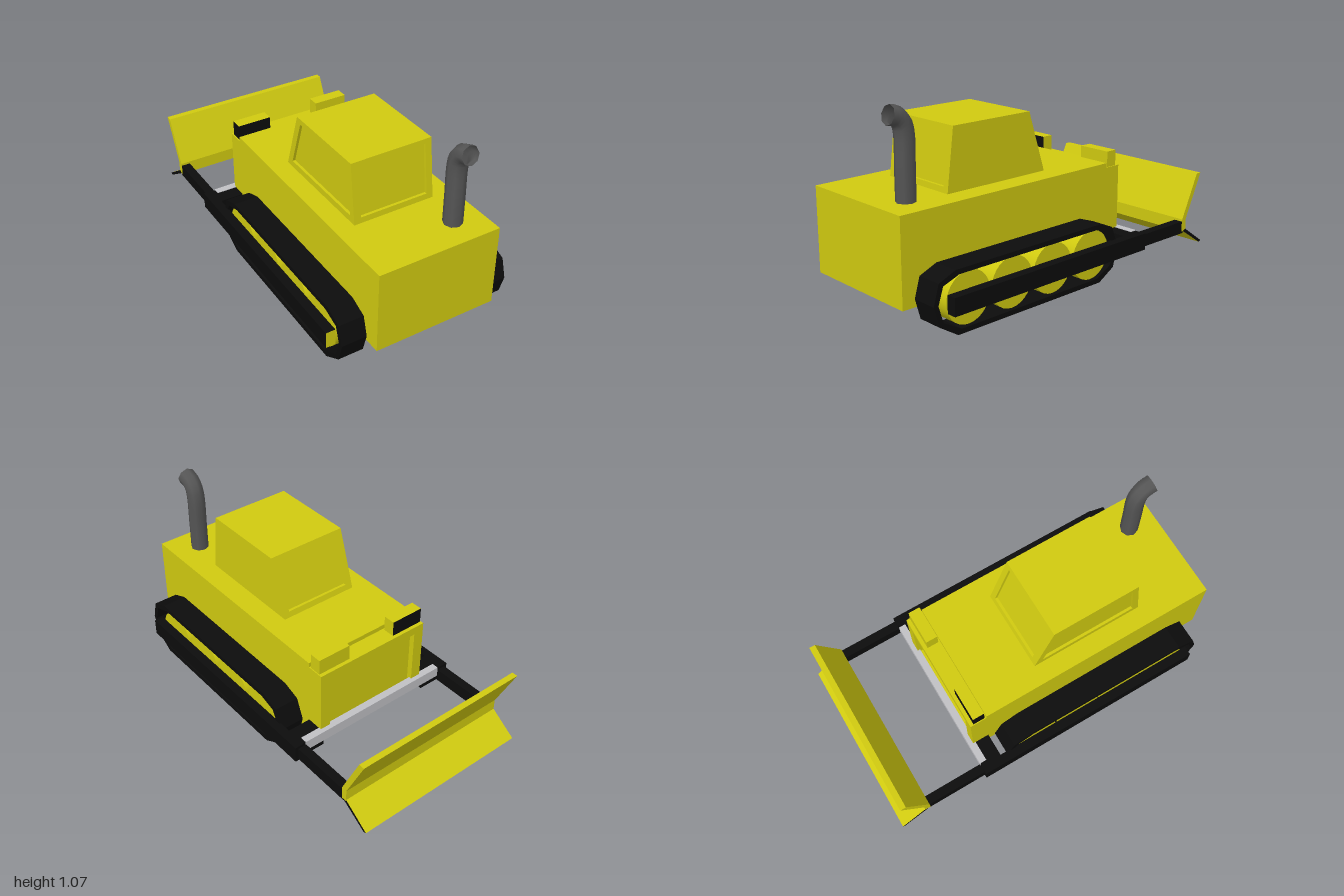
import * as THREE from 'three';

export function createModel() {
  const model = new THREE.Group();
  model.name = 'bulldozer';
  const mat = (name, color) => Object.assign(new THREE.MeshStandardMaterial({ color }), { name });
  const yellow = mat('yellow paint', 0xd0ca10);
  const black = mat('black rubber', 0x0c0c0c);
  const grey = mat('exhaust grey', 0x555555);
  const silver = mat('silver', 0xc0c0c4);
  grey.side = THREE.DoubleSide;

  const add = (name, geo, material, parent = model) => {
    const mesh = new THREE.Mesh(geo, material);
    mesh.name = name;
    parent.add(mesh);
    return mesh;
  };
  // Box from minimum and maximum corners
  const box = (name, x0, x1, y0, y1, z0, z1, material, parent) => {
    const geo = new THREE.BoxGeometry(x1 - x0, y1 - y0, z1 - z0);
    geo.translate((x0 + x1) / 2, (y0 + y1) / 2, (z0 + z1) / 2);
    return add(name, geo, material, parent);
  };
  const outline = (pts, hole) => {
    const shape = new THREE.Shape(pts.map(p => new THREE.Vector2(...p)));
    if (hole) shape.holes.push(new THREE.Path(hole.map(p => new THREE.Vector2(...p))));
    return shape;
  };
  const extrude = (pts, depth, hole) =>
    new THREE.ExtrudeGeometry(outline(pts, hole), { depth, bevelEnabled: false });
  // Side profile given as [z, y], extruded from x0 to x1
  const sideExtrude = (pts, x0, x1, hole) =>
    extrude(pts, x1 - x0, hole).rotateY(-Math.PI / 2).translate(x1, 0, 0);
  const rect = (x0, x1, y0, y1) => [[x0, y0], [x1, y0], [x1, y1], [x0, y1]];

  // Body with a recessed panel at the blade end
  box('body', -0.34, 0.34, 0.15, 0.6, -0.36, 1, yellow);
  const frame = extrude(rect(-0.34, 0.34, 0.15, 0.575), 0.095, rect(-0.28, 0.28, 0.2, 0.53));
  add('panelFrame', frame.translate(0, 0, -0.455), yellow);
  box('recessedPanel', -0.285, 0.285, 0.19, 0.535, -0.425, -0.36, yellow);

  // Lamps above the panel
  box('lampLeft', 0.145, 0.335, 0.57, 0.66, -0.435, -0.37, yellow);
  box('lampRight', -0.335, -0.145, 0.57, 0.66, -0.435, -0.37,
    [yellow, black, yellow, black, black, black]);

  // Cab: core plus raised window frames
  const cab = new THREE.Group();
  cab.name = 'cab';
  model.add(cab);
  const d = 0.015;
  add('cabCore', sideExtrude([[0.63 - d, 0.6], [0.59 - d, 0.925], [0.095 + d, 0.925], [-0.01 + d, 0.6]],
    -0.235 + d, 0.22), yellow, cab);
  add('sideWindowFrame', sideExtrude([[0.63, 0.6], [0.59, 0.925], [0.095, 0.925], [-0.01, 0.6]],
    -0.235, -0.235 + d, [[0.59, 0.635], [0.56, 0.895], [0.125, 0.895], [0.04, 0.635]]), yellow, cab);
  // Frames lean with the sloping cab ends
  const leaningFrame = (name, zBottom, zTop) => {
    const geo = extrude(rect(-0.235, 0.22, 0.6, 0.925), d, rect(-0.195, 0.185, 0.63, 0.9));
    const p = geo.attributes.position;
    for (let i = 0; i < p.count; i++) {
      p.setZ(i, p.getZ(i) + zBottom + (zTop - zBottom) * (p.getY(i) - 0.6) / 0.325);
    }
    geo.computeVertexNormals();
    add(name, geo, yellow, cab);
  };
  leaningFrame('frontWindowFrame', 0.63 - d, 0.59 - d);
  leaningFrame('backWindowFrame', -0.01, 0.095);

  // Exhaust pipe curving forward to an open mouth
  const pipe = new THREE.CatmullRomCurve3([[0.6, 0.845], [0.75, 0.845], [0.92, 0.845],
    [0.975, 0.858], [1.008, 0.89], [1.018, 0.93]].map(([y, z]) => new THREE.Vector3(0.18, y, z)));
  add('exhaust', new THREE.TubeGeometry(pipe, 20, 0.05, 8), grey);

  // Tracks, wheels and push arms on each side
  const band = [[0.93, 0.19], [0.9, 0.295], [0.8, 0.335], [-0.16, 0.335], [-0.26, 0.3],
    [-0.305, 0.19], [-0.275, 0.075], [-0.17, 0.015], [0.79, 0.015], [0.9, 0.085]];
  const bandInner = band.map(([z, y]) => [0.3125 + (z - 0.3125) * 0.957, 0.175 + (y - 0.175) * 0.84]);
  for (const s of [1, -1]) {
    const side = s > 0 ? 'Left' : 'Right';
    const mirrorBox = (name, a, b, y0, y1, z0, z1, m) =>
      box(name + side, Math.min(s * a, s * b), Math.max(s * a, s * b), y0, y1, z0, z1, m);
    const track = new THREE.Group();
    track.name = 'track' + side;
    if (s < 0) track.position.set(0, -0.015, -0.015);
    model.add(track);
    const x0 = s > 0 ? 0.34 : -0.477;
    add('trackBand', sideExtrude(band, x0, x0 + 0.137, bandInner), black, track);
    for (const z of [0.71, 0.435, 0.16, -0.118]) {
      const wheel = new THREE.CylinderGeometry(0.133, 0.133, 0.115, 28).rotateZ(Math.PI / 2);
      add('wheel', wheel.translate(s * 0.4, 0.175, z), yellow, track);
    }
    mirrorBox('sideBar', 0.47, 0.522, 0.133, 0.225, -0.48, 0.845,
      s > 0 ? black : [black, black, black, black, yellow, black]);
    mirrorBox('armMount', 0.34, 0.47, 0.14, 0.225, -0.475, -0.36, black);
    mirrorBox('pushArm', 0.455, 0.505, 0.143, 0.212, -0.83, -0.48, black);
  }
  box('crossBar', -0.455, 0.455, 0.17, 0.228, -0.48, -0.44, silver);

  // Blade with a thin cutting lip
  add('blade', sideExtrude([[-0.82, 0.225], [-0.935, 0.47], [-0.968, 0.47], [-0.852, 0.225],
    [-0.852, 0.155], [-0.82, 0.155]], -0.507, 0.507), yellow);
  add('bladeLip', sideExtrude([[-0.83, 0.155], [-0.85, 0.165], [-1, 0.062], [-0.985, 0.055]],
    -0.507, 0.507), [black, yellow]);
  return model;
}
